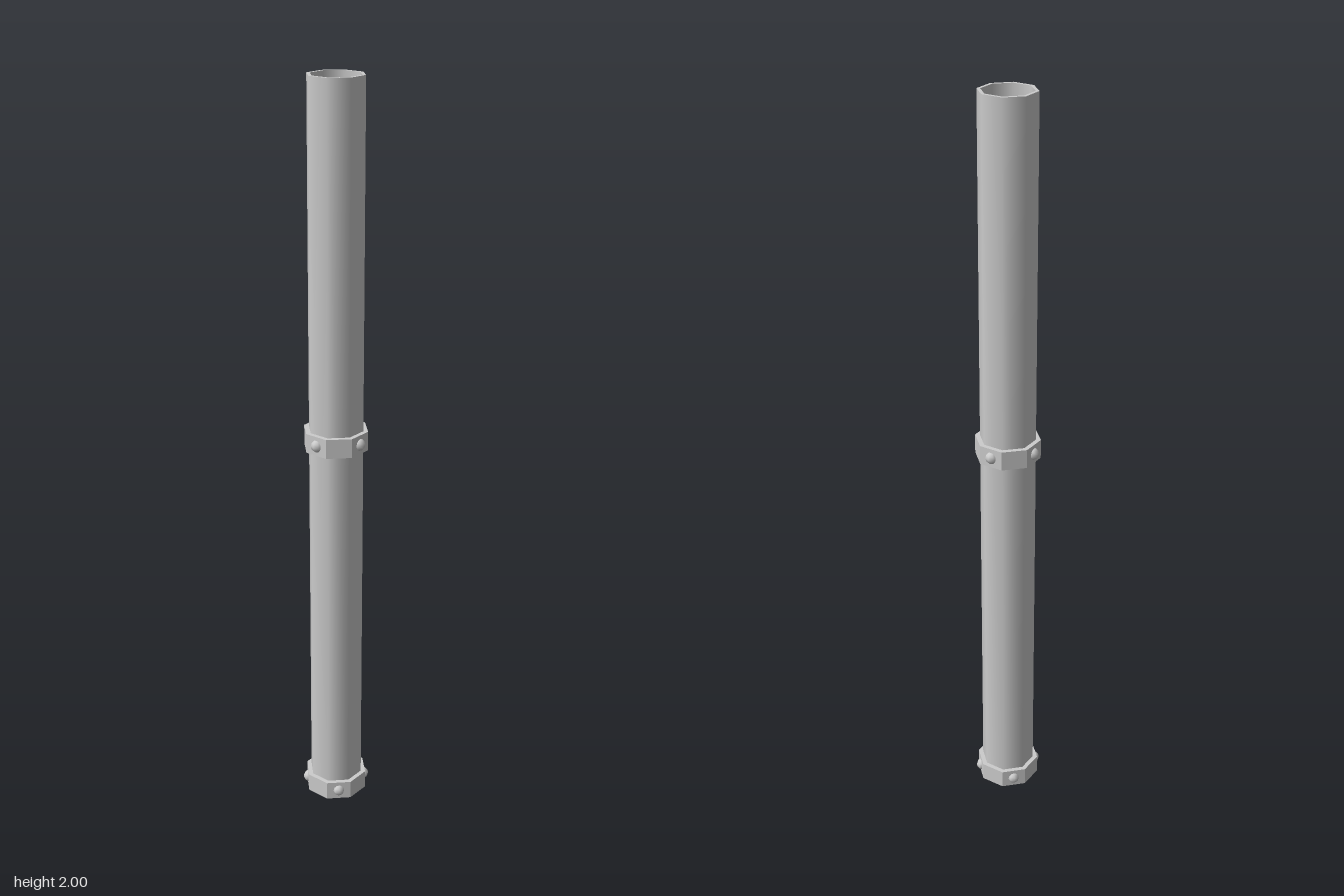
import * as THREE from 'three';

const SIDES = 8;
const PIPE_R = 0.074, BORE_R = 0.065, BAND_R = 0.087, BAND_H = 0.052;

const smooth = new THREE.MeshStandardMaterial({ color: 0xcccccc });
const faceted = new THREE.MeshStandardMaterial({ color: 0xcccccc, flatShading: true });

function addMesh(parent, name, geometry, material) {
  const mesh = new THREE.Mesh(geometry, material);
  mesh.name = name;
  parent.add(mesh);
  return mesh;
}

// Eight-sided surface of revolution with corners on the x and z axes
function lathe(...profile) {
  return new THREE.LatheGeometry(profile.map(([r, y]) => new THREE.Vector2(r, y)), SIDES);
}

// Octagonal band with one domed rivet on every second face
function createBand(name, y, firstRivetAngle) {
  const band = new THREE.Group();
  band.name = name;
  band.position.y = y;
  const r = PIPE_R - 0.004;
  addMesh(band, 'bandRing', lathe([r, 0], [BAND_R, 0], [BAND_R, BAND_H], [r, BAND_H]), faceted);

  for (let i = 0; i < 4; i++) {
    const angle = firstRivetAngle + i * Math.PI / 2;
    const rivet = addMesh(band, 'rivet', new THREE.SphereGeometry(0.0165, 8, 6), smooth);
    rivet.position.set(0.077 * Math.sin(angle), BAND_H / 2, 0.077 * Math.cos(angle));
    rivet.rotation.y = angle;
  }
  return band;
}

export function createModel() {
  const model = new THREE.Group();
  model.name = 'pipe';

  // Hollow tube: outer wall, flat rim, and bore with a closed floor
  addMesh(model, 'outerWall', lathe([PIPE_R, 0], [PIPE_R, 2]), smooth);
  addMesh(model, 'topRim', lathe([PIPE_R, 2], [BORE_R, 2]), faceted);
  addMesh(model, 'bore', lathe([BORE_R, 2], [BORE_R, 0.05], [0, 0.05]), smooth);

  // Closed underside
  addMesh(model, 'underside', lathe([0, 0], [BAND_R, 0]), faceted);

  // Riveted bands, with the rivets staggered between them
  model.add(createBand('baseBand', 0, -Math.PI / 8));
  model.add(createBand('middleBand', 1.048, Math.PI / 8));

  return model;
}
